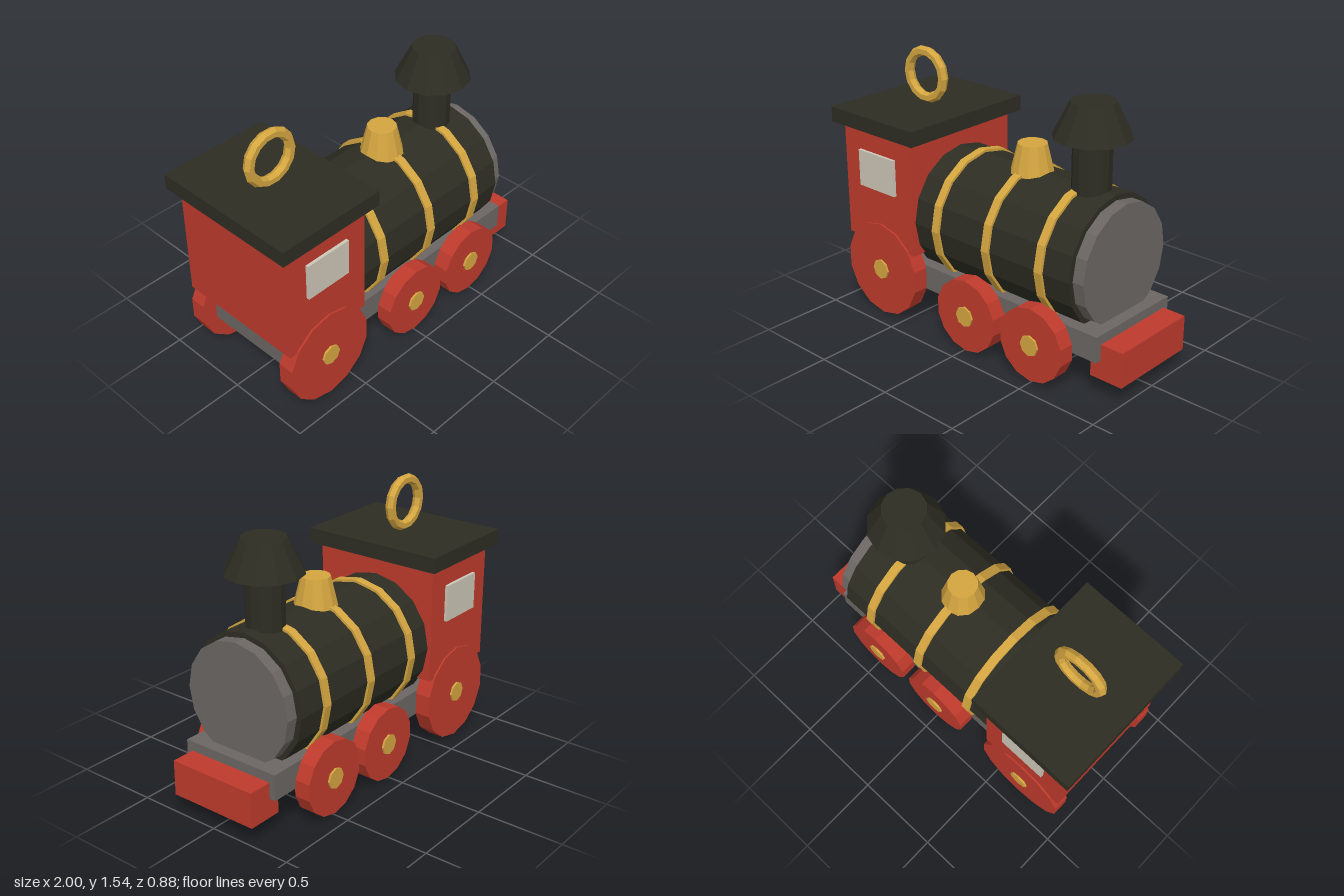
import * as THREE from 'three';

const flat = (name, color) => {
  const m = new THREE.MeshStandardMaterial({ color, flatShading: true });
  m.name = name;
  return m;
};

export function createModel() {
  const red = flat('red paint', 0xbe3a2c);
  const black = flat('black paint', 0x2d2d23);
  const grey = flat('grey metal', 0x6b6663);
  const gold = flat('gold trim', 0xd4a540);
  const pane = flat('window pane', 0xcdc6b7);

  const model = new THREE.Group();
  model.name = 'toyTrain';

  const add = (name, geometry, material, x, y, z = 0) => {
    const mesh = new THREE.Mesh(geometry, material);
    mesh.name = name;
    mesh.position.set(x, y, z);
    model.add(mesh);
    return mesh;
  };
  // Box given by its limits in x and y and its depth in z
  const box = (name, material, x0, x1, y0, y1, depth, z = 0) =>
    add(name, new THREE.BoxGeometry(x1 - x0, y1 - y0, depth), material, (x0 + x1) / 2, (y0 + y1) / 2, z);
  // Drum lying along x
  const drum = (name, material, x0, x1, radius) =>
    add(name, new THREE.CylinderGeometry(radius, radius, x1 - x0, 16).rotateZ(Math.PI / 2), material, (x0 + x1) / 2, 0.647);
  // Upright tapered round part
  const cone = (name, material, x, y0, y1, rBottom, rTop) =>
    add(name, new THREE.CylinderGeometry(rTop, rBottom, y1 - y0, 12), material, x, (y0 + y1) / 2);

  // Frame and buffer
  box('chassis', grey, -0.86, 0.86, 0.215, 0.365, 0.62);
  box('buffer', red, 0.795, 1, 0.105, 0.31, 0.546);

  // Cab
  box('cab', red, -0.945, -0.4, 0.445, 1.13, 0.784);
  box('roof', black, -1, -0.34, 1.13, 1.22, 0.88);

  // Boiler with its bands
  drum('boiler', black, -0.43, 0.72, 0.373);
  drum('smokebox', grey, 0.7, 0.79, 0.343);
  for (const x of [-0.23, 0.145, 0.52]) drum('boilerBand', gold, x - 0.025, x + 0.025, 0.388);

  // Chimney and dome
  cone('chimneyPipe', black, 0.555, 0.92, 1.31, 0.108, 0.108);
  cone('chimneyTop', black, 0.555, 1.3, 1.49, 0.215, 0.122);
  cone('steamDome', gold, 0.145, 0.99, 1.165, 0.125, 0.083);

  // Hanging ring on the roof
  add('hangingRing', new THREE.TorusGeometry(0.138, 0.03, 6, 14), gold, -0.67, 1.38);

  // Windows, wheels and hubs on both sides
  for (const side of [1, -1]) {
    box('cabWindow', pane, -0.815, -0.53, 0.78, 0.997, 0.03, side * 0.395);
    for (const [x, r] of [[-0.67, 0.285], [0.01, 0.217], [0.487, 0.217]]) {
      add('wheel', new THREE.CylinderGeometry(r, r, 0.096, 14).rotateX(Math.PI / 2), red, x, r, side * 0.355);
      add('wheelHub', new THREE.CylinderGeometry(0.06, 0.06, 0.12, 8).rotateX(Math.PI / 2), gold, x, r, side * 0.355);
    }
  }
  return model;
}
